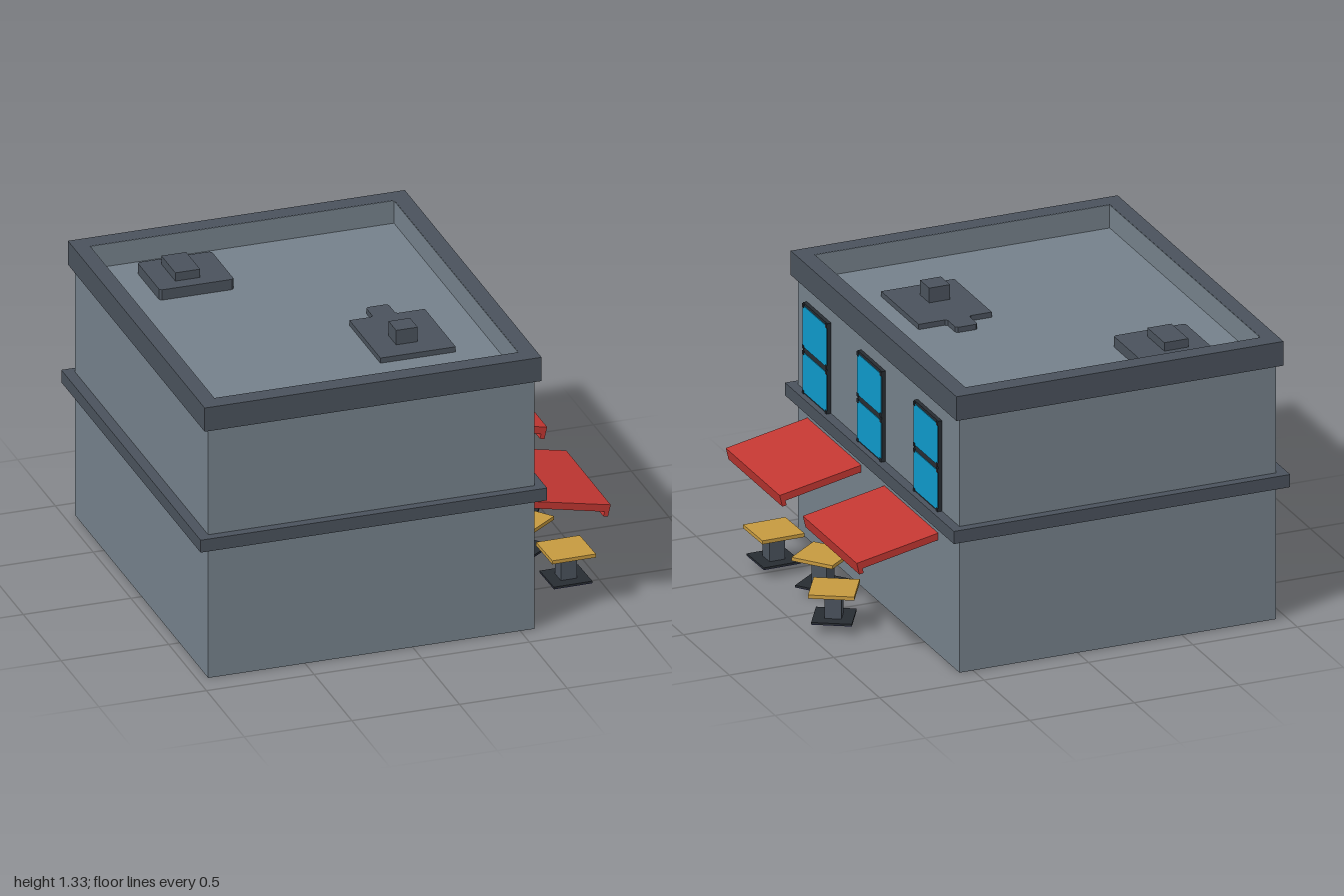
import * as THREE from 'three';

function material(name, color) {
  const m = new THREE.MeshStandardMaterial({ color });
  m.name = name;
  return m;
}

export function createModel() {
  const wall = material('wall grey', 0x75818b);
  const trim = material('trim grey', 0x4a525c);
  const red = material('awning red', 0xc23732);
  const wood = material('table wood', 0xc69a40);
  const blue = material('glass blue', 0x0e9acb);
  const dark = material('frame dark', 0x272c32);
  const navy = material('underside navy', 0x33338a);

  const model = new THREE.Group();
  model.name = 'building';

  // Box given by its two limits on each axis
  function box(parent, name, mat, x0, x1, y0, y1, z0, z1) {
    const mesh = new THREE.Mesh(new THREE.BoxGeometry(x1 - x0, y1 - y0, z1 - z0), mat);
    mesh.position.set((x0 + x1) / 2, (y0 + y1) / 2, (z0 + z1) / 2);
    mesh.name = name;
    parent.add(mesh);
    return mesh;
  }

  // Flat outline in x and z, extruded upwards
  function slab(name, mat, points, y0, y1, hole) {
    const toVectors = (list) => list.map(([x, z]) => new THREE.Vector2(x, -z));
    const shape = new THREE.Shape(toVectors(points));
    if (hole) shape.holes.push(new THREE.Path(toVectors(hole)));
    const geo = new THREE.ExtrudeGeometry(shape, { depth: y1 - y0, bevelEnabled: false });
    geo.rotateX(-Math.PI / 2);
    const mesh = new THREE.Mesh(geo, mat);
    mesh.position.y = y0;
    mesh.name = name;
    model.add(mesh);
  }
  const rect = (x0, x1, z) => [[x0, z], [x1, z], [x1, -z], [x0, -z]];

  // Walls, ledge and parapet
  box(model, 'walls', wall, -0.95, 0.565, 0, 1.215, -0.88, 0.88);
  box(model, 'ledge', trim, -1, 0.61, 0.635, 0.695, -0.922, 0.922);
  slab('parapet', trim, rect(-0.975, 0.59, 0.905), 1.21, 1.325, rect(-0.902, 0.512, 0.822));
  slab('parapetLining', wall, rect(-0.903, 0.513, 0.823), 1.21, 1.324, rect(-0.9, 0.51, 0.82));

  // Roof equipment
  const corner = 0.01;
  slab('roofHatch', trim, [
    [-0.72 + corner, -0.415], [-0.375 - corner, -0.415], [-0.375, -0.415 - corner], [-0.375, -0.715 + corner],
    [-0.375 - corner, -0.715], [-0.72 + corner, -0.715], [-0.72, -0.715 + corner], [-0.72, -0.415 - corner],
  ], 1.21, 1.265);
  box(model, 'hatchLid', trim, -0.625, -0.51, 1.26, 1.305, -0.665, -0.48);
  slab('ventBase', trim, [
    [-0.02, 0.51], [0.33, 0.51], [0.33, 0.1], [0.205, 0.1], [0.195, 0.09], [0.195, 0.01], [0.185, 0],
    [0.1, 0], [0.09, 0.01], [0.09, 0.09], [0.08, 0.1], [-0.02, 0.1],
  ], 1.21, 1.24);
  box(model, 'ventBox', trim, 0.09, 0.19, 1.235, 1.31, 0.305, 0.405);

  // Upper windows: dark frame, two glass panes, small corner blocks
  for (const z of [0.6525, 0.0575, -0.5575]) {
    const win = new THREE.Group();
    win.name = 'window';
    win.position.z = z;
    model.add(win);
    box(win, 'windowFrame', dark, 0.56, 0.583, 0.695, 1.125, -0.133, 0.133);
    for (const [y0, y1] of [[0.702, 0.89], [0.917, 1.112]]) {
      box(win, 'glass', blue, 0.581, 0.586, y0, y1, -0.13, 0.13);
      for (const y of [y0, y1]) {
        for (const s of [-1, 1]) {
          box(win, 'frameCorner', dark, 0.58, 0.588, y - 0.009, y + 0.009, s * 0.125 - 0.008, s * 0.125 + 0.008);
        }
      }
    }
  }

  // Sloping awnings with a drooping front lip
  const profile = [[0.563, 0.542], [0.927, 0.467], [0.921, 0.445], [0.942, 0.441], [0.955, 0.496], [0.563, 0.575]];
  for (const z0 of [0.193, -0.648]) {
    const shape = new THREE.Shape(profile.map(([x, y]) => new THREE.Vector2(x, y)));
    const awning = new THREE.Mesh(new THREE.ExtrudeGeometry(shape, { depth: 0.588, bevelEnabled: false }), red);
    awning.position.z = z0;
    awning.name = 'awning';
    model.add(awning);
  }

  // Pavement tables, each turned differently
  for (const [x, z, degrees] of [[0.837, 0.525, 1], [0.7525, 0.1825, 38], [0.861, -0.185, -30.5]]) {
    const table = new THREE.Group();
    table.name = 'table';
    table.position.set(x, 0, z);
    table.rotation.y = THREE.MathUtils.degToRad(degrees);
    model.add(table);
    const square = (name, mat, size, y0, y1) =>
      box(table, name, mat, -size / 2, size / 2, y0, y1, -size / 2, size / 2);
    square('tableTop', wood, 0.204, 0.173, 0.19);
    square('tableColumn', trim, 0.075, 0.05, 0.175);
    square('tableFoot', dark, 0.18, 0.046, 0.055);
    square('footUnderside', navy, 0.179, 0.044, 0.047);
  }

  return model;
}
